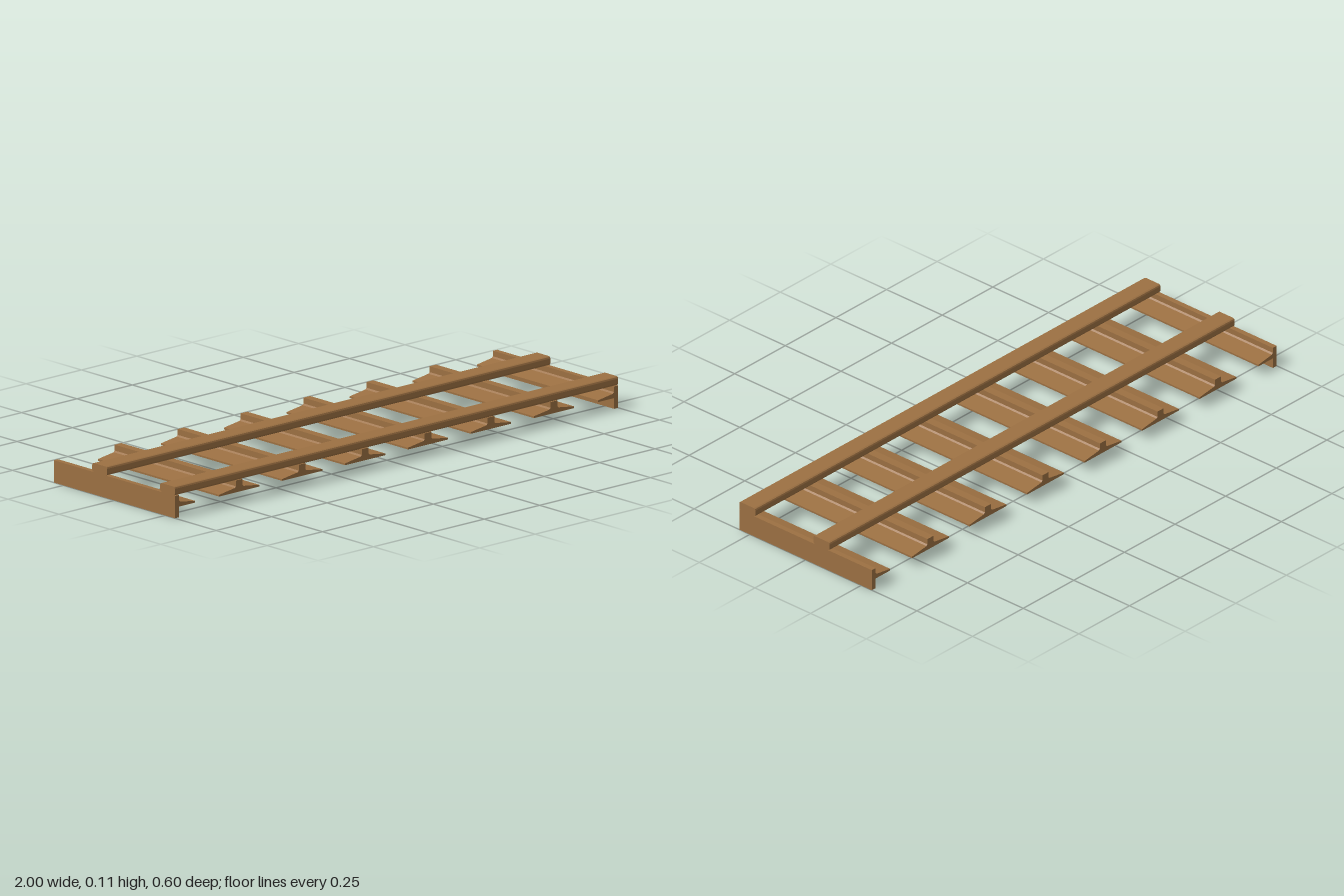
import * as THREE from 'three';

const wood = new THREE.MeshStandardMaterial({ color: 0x9c7042 });
wood.name = 'brown';

// Extrude a closed outline along z, centred on the origin
function prism(points, length) {
  const shape = new THREE.Shape(points.map(([x, y]) => new THREE.Vector2(x, y)));
  const geo = new THREE.ExtrudeGeometry(shape, { depth: length, bevelEnabled: false });
  return geo.translate(0, 0, -length / 2);
}

export function createModel() {
  const group = new THREE.Group();
  const add = (geo, name, x = 0, y = 0, z = 0) => {
    const mesh = new THREE.Mesh(geo, wood);
    mesh.name = name;
    mesh.position.set(x, y, z);
    group.add(mesh);
    return mesh;
  };
  const depth = 0.595;

  // Cross beams: inverted tees with tapered flanges
  const half = [[0.091, 0.037], [0.091, 0.043], [0.02, 0.053], [0.015, 0.058], [0.015, 0.078]];
  const tee = prism([...half, ...half.map(([x, y]) => [-x, y]).reverse()], depth);
  for (let i = 0; i < 6; i++) add(tee, 'crossBeam', (i - 2.5) * 0.284);

  // End beams: tall outer plate with one inner flange
  const end = [[1, 0], [1, 0.077], [0.981, 0.077], [0.981, 0.058], [0.976, 0.053],
    [0.909, 0.043], [0.909, 0.037], [0.981, 0.037], [0.981, 0]];
  add(prism(end, depth), 'leftEndBeam');
  add(prism(end.map(([x, y]) => [-x, y]).reverse(), depth), 'rightEndBeam');

  // Long rails with softened edges
  const w = 0.0365;
  const side = [[w - 0.008, 0.077], [w - 0.002, 0.08], [w, 0.085],
    [w, 0.101], [w - 0.002, 0.106], [w - 0.007, 0.108]];
  const rail = prism([...side, ...side.map(([x, y]) => [-x, y]).reverse()], 2);
  rail.rotateY(Math.PI / 2);
  add(rail, 'frontRail', 0, 0, 0.261);
  add(rail, 'middleRail', 0, 0, -0.072);

  return group;
}
